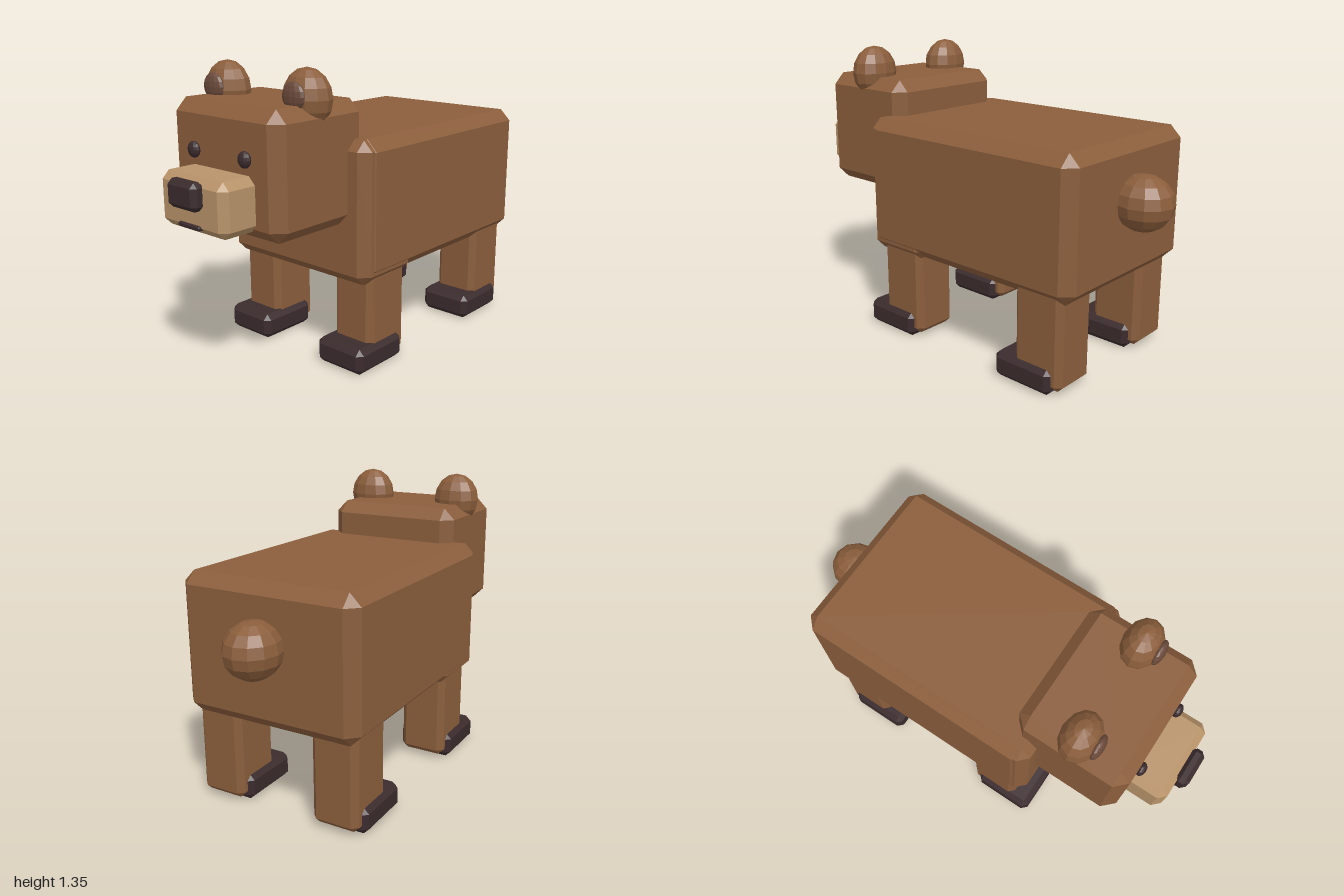
import * as THREE from 'three';
import { ConvexGeometry } from 'three/addons/geometries/ConvexGeometry.js';

function material(name, color) {
  const m = new THREE.MeshStandardMaterial({ color, flatShading: true });
  m.name = name;
  return m;
}

// Box between two corners with every edge cut by a flat chamfer
function chamferBox(min, max, c) {
  const half = min.map((v, i) => (max[i] - v) / 2);
  const mid = min.map((v, i) => (max[i] + v) / 2);
  const points = [];
  for (const sx of [-1, 1]) for (const sy of [-1, 1]) for (const sz of [-1, 1]) {
    const s = [sx, sy, sz];
    for (let axis = 0; axis < 3; axis++) {
      const p = s.map((sign, i) => mid[i] + sign * (half[i] - (i === axis ? 0 : c)));
      points.push(new THREE.Vector3(...p));
    }
  }
  return new ConvexGeometry(points);
}

// Faceted ellipsoid
function blob(center, radii, segments = 12, rings = 8) {
  return new THREE.SphereGeometry(1, segments, rings).scale(...radii).translate(...center);
}

export function createModel() {
  const fur = material('brown fur', 0x8b5e3c);
  const tan = material('tan muzzle', 0xb8936a);
  const dark = material('dark brown', 0x3b2b2d);
  const inner = material('inner ear brown', 0x6b4a3a);

  const model = new THREE.Group();
  model.name = 'bear';
  const add = (name, geometry, mat, parent = model) => {
    const mesh = new THREE.Mesh(geometry, mat);
    mesh.name = name;
    parent.add(mesh);
  };

  // Torso
  add('body', chamferBox([-0.427, 0.415, -0.81], [0.427, 1.04, 0.365], 0.052), fur);
  add('chest', chamferBox([-0.421, 0.4, 0.03], [0.421, 1.037, 0.38], 0.045), fur);
  add('tail', blob([0, 0.782, -0.865], [0.122, 0.122, 0.135]), fur);

  // Head
  const head = new THREE.Group();
  head.name = 'head';
  model.add(head);
  add('skull', chamferBox([-0.326, 0.666, 0.255], [0.326, 1.202, 0.785], 0.053), fur, head);
  add('muzzle', chamferBox([-0.2, 0.705, 0.7], [0.2, 0.935, 0.95], 0.033), tan, head);
  add('nose', chamferBox([-0.088, 0.81, 0.935], [0.088, 0.927, 1], 0.021), dark, head);
  add('mouth', chamferBox([-0.066, 0.727, 0.935], [0.066, 0.746, 0.963], 0.005), dark, head);

  for (const [side, s] of [['left', 1], ['right', -1]]) {
    add(side + 'Ear', blob([s * 0.24, 1.22, 0.525], [0.115, 0.125, 0.088]), fur, head);
    add(side + 'InnerEar', blob([s * 0.241, 1.235, 0.605], [0.06, 0.06, 0.026]), inner, head);
    add(side + 'Eye', blob([s * 0.155, 1, 0.795], [0.033, 0.035, 0.022]), dark, head);

    // Legs, each with a foot set forward
    for (const [end, z] of [['Front', 0.19], ['Back', -0.633]]) {
      const leg = new THREE.Group();
      leg.name = side + end + 'Leg';
      leg.position.set(s * 0.291, 0, z);
      model.add(leg);
      add('shank', chamferBox([-0.11, 0.02, -0.125], [0.11, 0.5, 0.125], 0.027), fur, leg);
      add('foot', chamferBox([-0.132, 0, -0.085], [0.132, 0.12, 0.22], 0.026), dark, leg);
    }
  }
  return model;
}
